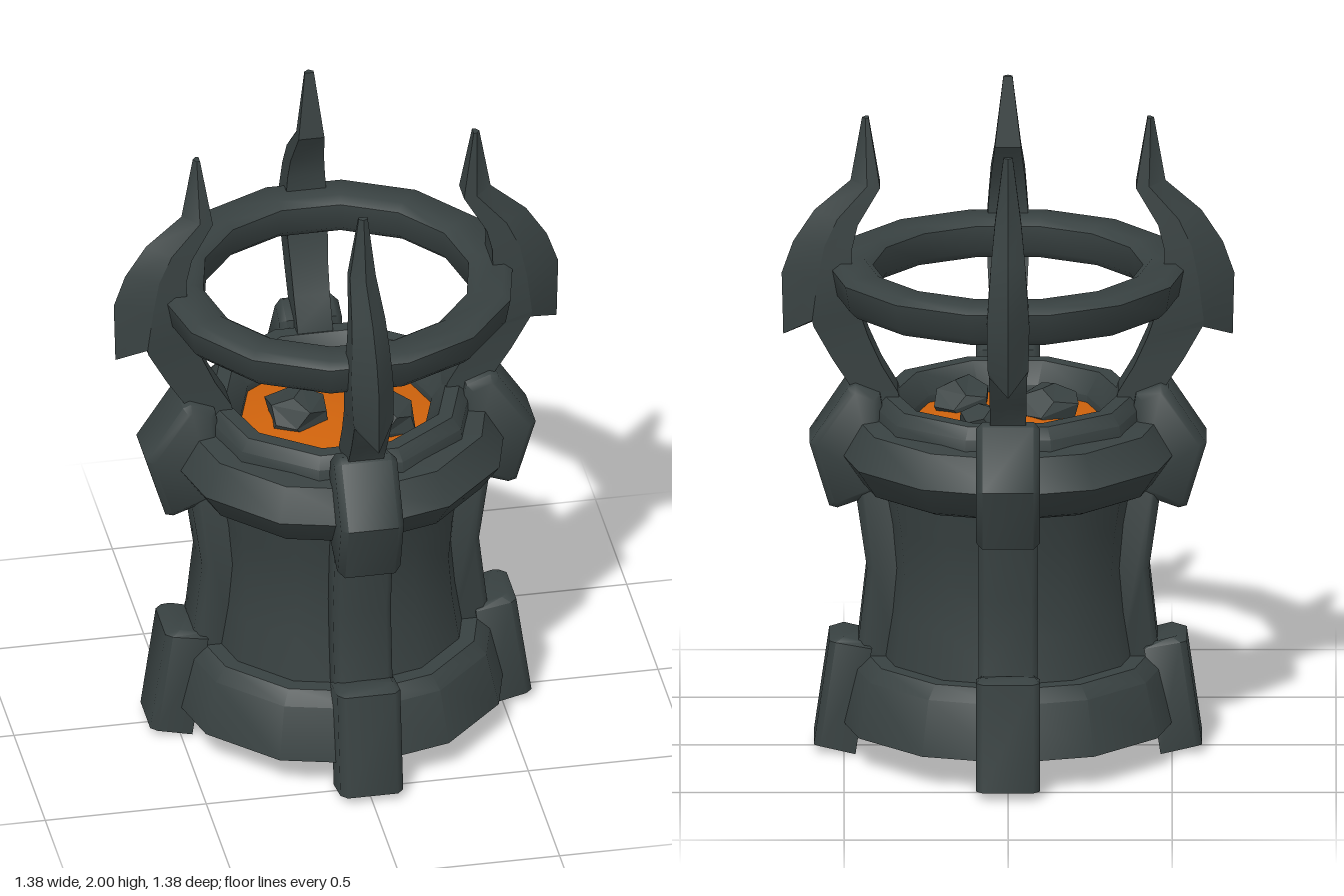
import * as THREE from 'three';
import { toCreasedNormals } from 'three/addons/utils/BufferGeometryUtils.js';

const iron = new THREE.MeshStandardMaterial({ color: 0x384141 });
iron.name = 'dark iron';
const ember = new THREE.MeshStandardMaterial({ color: 0xce620c });
ember.name = 'glowing ember';

function part(name, geometry, material = iron) {
  const mesh = new THREE.Mesh(geometry, material);
  mesh.name = name;
  return mesh;
}

// Turned solid with a corner on the x axis; profile is [radius, height] pairs
function turned(profile, sides, crease = 0.65) {
  const g = new THREE.LatheGeometry(profile.map(([r, y]) => new THREE.Vector2(r, y)), sides);
  g.rotateY(Math.PI / 2);
  return toCreasedNormals(g, crease);
}

// Side outline in x/y, given a softly bevelled thickness along z
function slab(outline, width, bevel) {
  const shape = new THREE.Shape(outline.map(([x, y]) => new THREE.Vector2(x, y)));
  const g = new THREE.ExtrudeGeometry(shape, {
    depth: width - 2 * bevel, bevelEnabled: true, bevelThickness: bevel,
    bevelSize: bevel, bevelOffset: -bevel, bevelSegments: 1,
  });
  g.translate(0, 0, bevel - width / 2);
  return toCreasedNormals(g, 0.85);
}

// Skin over rows of points (each row runs counterclockwise from above), capped at both ends
function loft(rows, crease) {
  const n = rows[0].length, idx = [];
  for (let i = 0; i < rows.length - 1; i++) {
    for (let j = 0; j < n; j++) {
      const a = i * n + j, b = i * n + (j + 1) % n;
      idx.push(a, b, b + n, a, b + n, a + n);
    }
  }
  const top = (rows.length - 1) * n;
  for (let j = 1; j < n - 1; j++) idx.push(0, j + 1, j, top, top + j, top + j + 1);
  const g = new THREE.BufferGeometry();
  g.setAttribute('position', new THREE.Float32BufferAttribute(rows.flat(2), 3));
  g.setIndex(idx);
  return toCreasedNormals(g, crease);
}

// Horn: sections of [inner x, y, shoulder x, y, outer edge x, y, half width]
function hornGeometry() {
  const sections = [
    [0.32, 1.06, 0.46, 1.08, 0.46, 1.08, 0.055],
    [0.335, 1.14, 0.48, 1.16, 0.48, 1.16, 0.055],
    [0.385, 1.225, 0.535, 1.245, 0.535, 1.245, 0.056],
    [0.425, 1.315, 0.593, 1.35, 0.593, 1.35, 0.058],
    [0.45, 1.39, 0.597, 1.37, 0.685, 1.31, 0.062],
    [0.475, 1.5, 0.58, 1.505, 0.69, 1.505, 0.065],
    [0.475, 1.6, 0.56, 1.605, 0.655, 1.605, 0.058],
    [0.458, 1.67, 0.52, 1.69, 0.59, 1.705, 0.052],
    [0.39, 1.785, 0.43, 1.79, 0.48, 1.8, 0.04],
    [0.425, 2, 0.435, 2, 0.445, 2, 0.014],
  ];
  return loft(sections.map(([ix, iy, mx, my, ox, oy, w]) => [
    [ix, iy, w], [mx, my, w], [ox, oy, 0], [mx, my, -w], [ix, iy, -w],
  ]), 0.5);
}

// Foot: hollow from below; sections of [inner x, y, outer x, y, half width]
function footGeometry() {
  const c = 0.02;
  const sections = [
    [0.465, 0.13, 0.54, 0.14, 0.07],
    [0.487, 0.004, 0.57, 0.021, 0.077],
    [0.465, 0, 0.592, 0.025, 0.0975],
    [0.415, 0.335, 0.545, 0.355, 0.0975],
    [0.43, 0.35, 0.52, 0.368, 0.08],
  ];
  return loft(sections.map(([ix, iy, ox, oy, w]) => [
    [ix, iy, w], [ox - c, oy, w], [ox, oy, w - c],
    [ox, oy, c - w], [ox - c, oy, -w], [ix, iy, -w],
  ]), 0.85);
}

// Faceted stone with corners shifted by a repeatable rule
function rockGeometry(radius, seed) {
  const g = new THREE.DodecahedronGeometry(radius, 0);
  const p = g.attributes.position;
  const v = new THREE.Vector3();
  for (let i = 0; i < p.count; i++) {
    v.fromBufferAttribute(p, i);
    const k = Math.sin((v.x * 31 + v.y * 47 + v.z * 59) / radius * 0.3 + seed);
    v.multiplyScalar(1 + 0.1 * k);
    p.setXYZ(i, v.x, v.y, v.z);
  }
  g.rotateY(seed);
  g.computeVertexNormals();
  return g;
}

export function createModel() {
  const model = new THREE.Group();
  model.name = 'brazier';

  // Hollow foot ring with a recessed underside
  model.add(part('base', turned([
    [0, 0.28], [0.42, 0.28], [0.495, 0.1], [0.525, 0.1], [0.485, 0.27], [0.445, 0.31], [0.36, 0.31],
  ], 12)));

  // Waisted body
  model.add(part('body', turned([
    [0.4, 0.29], [0.375, 0.45], [0.363, 0.59], [0.375, 0.73], [0.4, 0.87],
  ], 12)));

  // Collar and raised rim around the bowl
  model.add(part('collar', turned([
    [0.35, 0.85], [0.43, 0.845], [0.465, 0.86], [0.527, 0.95], [0.47, 1.05], [0.38, 1.065],
  ], 12)));
  model.add(part('rim', turned([
    [0.425, 1.04], [0.42, 1.09], [0.39, 1.125], [0.345, 1.125], [0.297, 1.06], [0.297, 1.03],
  ], 10)));

  // Embers and stones
  model.add(part('embers', turned([[0.31, 1.036], [0.2, 1.052], [0.1, 1.063], [0, 1.067]], 10), ember));
  const rocks = [[-0.123, 0.02, 0.108, 1], [0.07, -0.157, 0.088, 2.3], [0.14, 0.098, 0.094, 4.1]];
  for (const [x, z, r, seed] of rocks) {
    const rock = part('rock', rockGeometry(r, seed));
    rock.position.set(x, 1.065, z);
    rock.scale.y = 0.8;
    model.add(rock);
  }

  // Hoop held between the horns
  model.add(part('hoop', turned([
    [0.41, 1.45], [0.435, 1.425], [0.51, 1.425], [0.535, 1.45], [0.55, 1.53],
    [0.525, 1.55], [0.44, 1.55], [0.412, 1.53], [0.41, 1.45],
  ], 14, 0.9)));

  // Four buttresses, each with foot, post, bracket and horn
  const foot = footGeometry();
  const post = slab([
    [0.32, 0.25], [0.475, 0.25], [0.455, 0.36], [0.43, 0.585], [0.465, 0.83], [0.465, 0.92],
    [0.32, 0.92], [0.3, 0.585],
  ], 0.18, 0.018);
  const bracket = slab([
    [0.38, 0.84], [0.465, 0.8], [0.52, 0.78], [0.545, 0.787], [0.605, 0.985],
    [0.49, 1.16], [0.465, 1.17], [0.39, 1.14], [0.375, 1.05],
  ], 0.195, 0.02);
  const horn = hornGeometry();
  for (let k = 0; k < 4; k++) {
    const buttress = new THREE.Group();
    buttress.name = 'buttress';
    buttress.add(part('foot', foot), part('post', post), part('bracket', bracket), part('horn', horn));
    buttress.rotation.y = k * Math.PI / 2;
    model.add(buttress);
  }
  return model;
}
